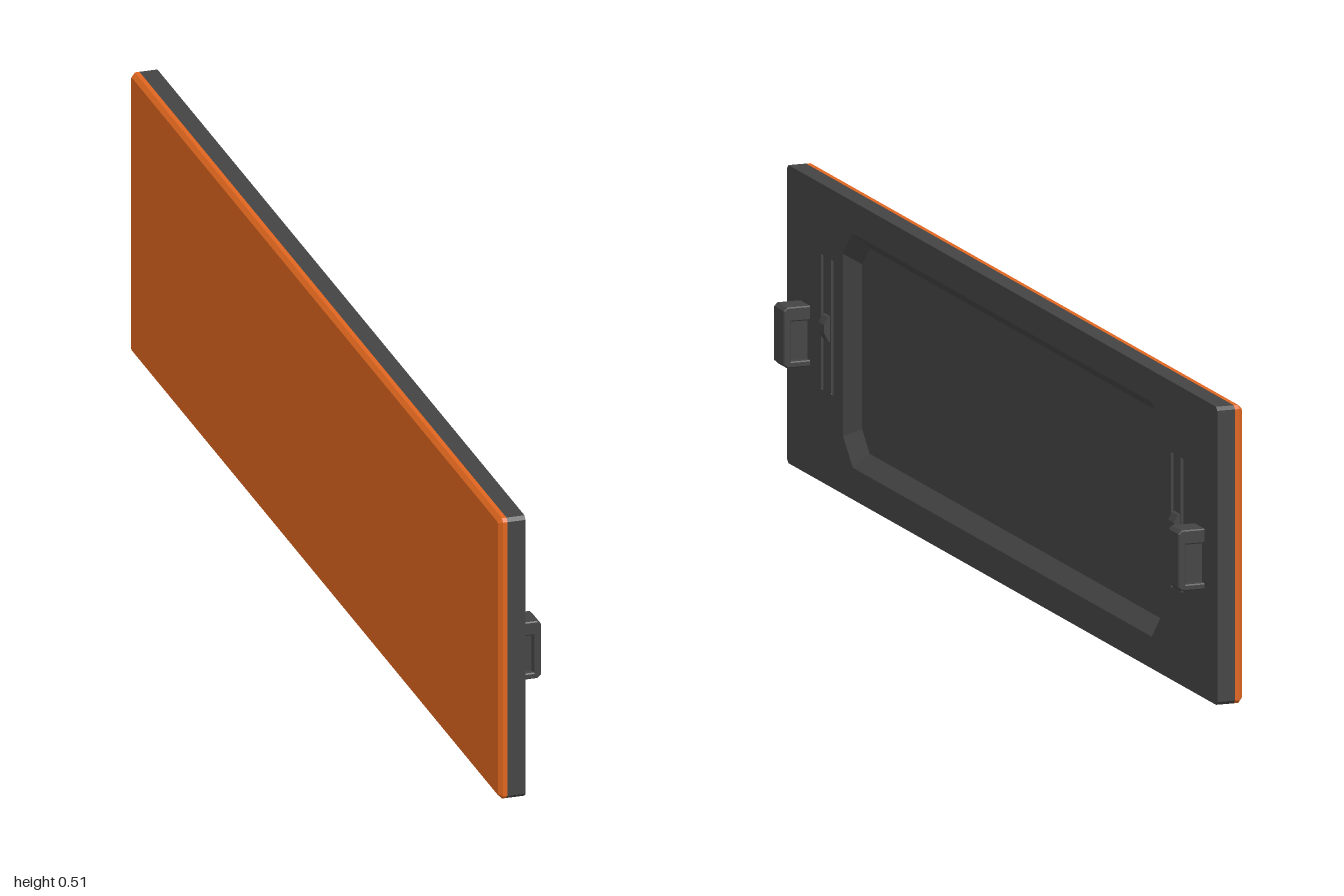
import * as THREE from 'three';

const H = 0.515, BACK = -0.032, DEPTH = 0.025;
const grey = new THREE.MeshStandardMaterial({ color: 0x444444, flatShading: true });
const orange = new THREE.MeshStandardMaterial({ color: 0xe0661f, flatShading: true });

// Corner points of a rectangle with cut corners, counter-clockwise
function cutRect(u0, v0, u1, v1, c) {
  return [[u0 + c, v0], [u1 - c, v0], [u1, v0 + c], [u1, v1 - c],
    [u1 - c, v1], [u0 + c, v1], [u0, v1 - c], [u0, v0 + c]].map(p => new THREE.Vector2(...p));
}

// Extrude a (-z, y) outline along +x
function extrudeX(shape, x0, depth, bevel = 0) {
  const g = new THREE.ExtrudeGeometry(shape, {
    depth, bevelEnabled: bevel > 0, bevelSize: bevel, bevelThickness: bevel, bevelOffset: -bevel, bevelSegments: 1,
  });
  return g.rotateY(Math.PI / 2).translate(x0, 0, 0);
}

// Extrude an (x, y) outline along z, centred on zc
function extrudeZ(points, zc, width, bevel = 0) {
  const shape = new THREE.Shape(points.map(p => new THREE.Vector2(...p)));
  const depth = width - 2 * bevel;
  return new THREE.ExtrudeGeometry(shape, {
    depth, bevelEnabled: bevel > 0, bevelSize: bevel, bevelThickness: bevel, bevelOffset: -bevel, bevelSegments: 1,
  }).translate(0, 0, zc - depth / 2);
}

// Sloped walls and floor of the recess, from two loops
function recessGeometry(outer, inner) {
  const pos = [];
  const put = (p, x) => pos.push(x, p.y, -p.x);
  const n = outer.length;
  for (let i = 0; i < n; i++) {
    const j = (i + 1) % n;
    put(outer[i], 0); put(outer[j], 0); put(inner[j], -DEPTH);
    put(outer[i], 0); put(inner[j], -DEPTH); put(inner[i], -DEPTH);
    if (i > 0 && i < n - 1) { put(inner[0], -DEPTH); put(inner[i], -DEPTH); put(inner[j], -DEPTH); }
  }
  const g = new THREE.BufferGeometry();
  g.setAttribute('position', new THREE.Float32BufferAttribute(pos, 3));
  g.computeVertexNormals();
  return g;
}

export function createModel() {
  const model = new THREE.Group();
  model.name = 'snapInPanel';
  const add = (name, geo, mat = grey, parent = model) => {
    const m = new THREE.Mesh(geo, mat);
    m.name = name;
    parent.add(m);
    return m;
  };

  // Coloured face panel with chamfered outer edge
  const b = 0.007;
  const face = new THREE.Shape(cutRect(-1, 0, 1, H, 0.006));
  const faceGeo = extrudeX(face, BACK - 0.008, 0.008, b);
  // Flatten the inner chamfer so only the outer edge is bevelled
  const p = faceGeo.attributes.position;
  for (let i = 0; i < p.count; i++) {
    if (p.getX(i) > BACK + 0.001) p.setX(i, BACK);
  }
  faceGeo.computeVertexNormals();
  add('facePanel', faceGeo, orange);

  // Backing plate with openings for the recess and the slots
  const outer = cutRect(-0.74, 0.055, 0.74, 0.46, 0.045);
  const inner = cutRect(-0.715, 0.08, 0.715, 0.435, 0.035);
  const plate = new THREE.Shape(cutRect(-1, 0, 1, H, 0.006));
  plate.holes.push(new THREE.Path(outer));
  const slotZ = [0.79, 0.836], slotW = 0.012, y0 = 0.16, y1 = 0.395, ramp = 0.038;
  for (const s of [1, -1]) {
    for (const z of slotZ) {
      plate.holes.push(new THREE.Path(cutRect(s * z - slotW / 2, y0, s * z + slotW / 2, y1, 0.002)));
    }
  }
  add('backingPlate', extrudeX(plate, BACK, -BACK));
  add('recess', recessGeometry(outer, inner));

  for (const s of [1, -1]) {
    const clip = new THREE.Group();
    clip.name = s > 0 ? 'frontClip' : 'rearClip';
    model.add(clip);

    // Sloped run-outs at both ends of each slot
    for (const z of slotZ) {
      add('slotRampLower', extrudeZ([[BACK, y0], [0, y0], [BACK, y0 + ramp]], s * z, slotW), grey, clip);
      add('slotRampUpper', extrudeZ([[BACK, y1], [BACK, y1 - ramp], [0, y1]], s * z, slotW), grey, clip);
    }

    // Small catch on the springy strip between the slots
    add('catchBump', extrudeZ([[-0.003, 0.247], [0.004, 0.252], [0.011, 0.266], [0.011, 0.28],
      [0.004, 0.293], [-0.003, 0.296]], s * 0.813, 0.026), grey, clip);

    // Hook: C-shaped rim around a thinner web
    const lo = 0.188, hi = 0.293, out = 0.047, c = 0.006;
    add('hookRim', extrudeZ([[-0.004, lo], [out - c, lo], [out, lo + c], [out, hi - c], [out - c, hi],
      [-0.004, hi], [-0.004, 0.268], [0.034, 0.268], [0.034, 0.199], [-0.004, 0.199]],
    s * 0.917, 0.048, 0.002), grey, clip);
    add('hookWeb', new THREE.BoxGeometry(0.04, 0.08, 0.022).translate(0.018, 0.233, s * 0.917), grey, clip);
  }
  return model;
}
